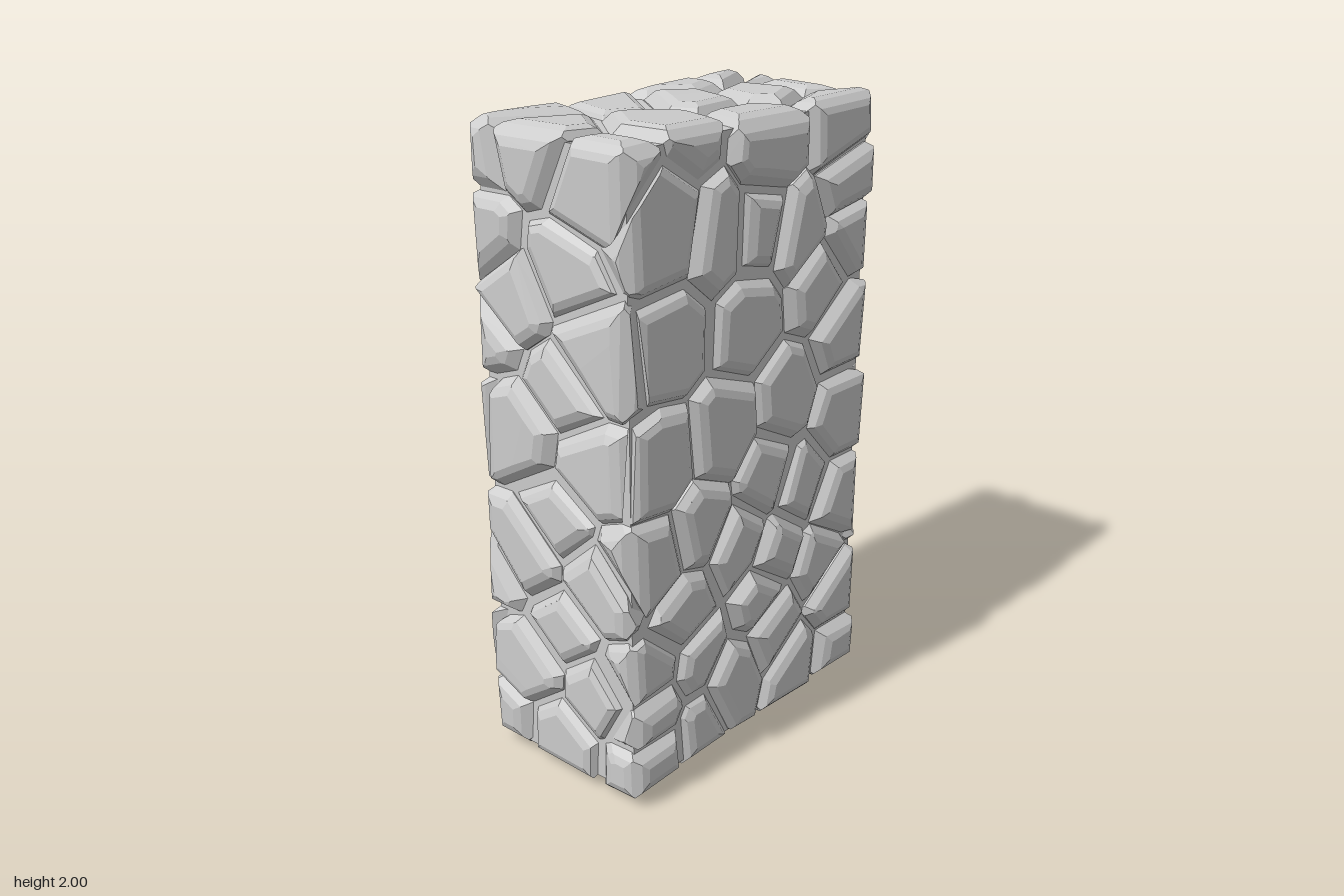
import * as THREE from 'three';

const HALF = [0.59, 1, 0.315]; // half width, height, depth of the block
const INSET = 0.08;            // depth of stone centres below the surface

// Stone centres on each side of the block
const FRONT = [ // x, y
  [-0.4, 1.72], [-0.17, 1.67], [0.06, 1.88], [0.4, 1.88], [-0.37, 1.42], [-0.04, 1.4],
  [0.01, 1.66], [0.2, 1.61], [0.31, 1.44], [0.46, 1.57], [0.44, 1.72], [0.45, 1.24],
  [-0.42, 1.04], [-0.16, 1.07], [0.17, 1.1], [0.45, 0.97], [-0.26, 0.82], [0.06, 0.87], [-0.45, 0.77],
  [0.25, 0.78], [0.45, 0.66], [-0.33, 0.55], [-0.07, 0.68], [0.12, 0.58], [-0.45, 0.41], [-0.26, 0.37],
  [-0.44, 0.26], [-0.44, 0.12], [-0.09, 0.23], [0.12, 0.33], [0.35, 0.48], [0.25, 0.13], [0.46, 0.31],
  [0.45, 0.1], [-0.26, 0.14], [0.05, 0.47]];
const BACK = [ // x, y
  [0.46, 1.88], [0.25, 1.9], [-0.38, 1.88], [0.44, 1.68], [0.15, 1.67], [-0.22, 1.63],
  [0.44, 1.4], [0.19, 1.34], [-0.18, 1.37], [-0.46, 1.63], [-0.45, 1.38], [0.45, 1.11], [0.25, 1.11],
  [0.03, 1.02], [-0.24, 1.13], [-0.45, 1.11], [0.44, 0.87], [0.22, 0.91], [0.42, 0.67], [0.07, 0.78],
  [-0.28, 0.83], [0.15, 0.48], [-0.16, 0.48], [-0.45, 0.62], [0.42, 0.39], [0.44, 0.17], [0.03, 0.17],
  [-0.24, 0.21], [-0.45, 0.14], [0.22, 0.22], [-0.42, 0.37]];
const PLUS_X = [ // z, y
  [0.14, 1.56], [-0.09, 1.52], [0.12, 1.8], [-0.1, 1.87], [-0.13, 1.73], [0.11, 1.34], [-0.15, 1.31],
  [0.13, 1.08], [-0.14, 1.09], [0.09, 0.89], [-0.15, 0.86], [0.14, 0.6], [-0.02, 0.45], [-0.04, 0.72],
  [-0.15, 0.62], [-0.15, 0.38], [0.1, 0.22], [-0.14, 0.13]];
const MINUS_X = [ // z, y
  [0.13, 1.84], [0.05, 1.6], [-0.14, 1.5], [0.14, 1.4], [0.02, 1.27], [-0.14, 1.1],
  [0.13, 1.05], [0, 0.85], [-0.14, 0.7], [0.14, 0.68], [0, 0.5], [-0.14, 0.34], [0.13, 0.32], [0, 0.13]];
const TOP = [ // x, z
  [-0.46, -0.04], [-0.27, 0.12], [-0.09, -0.15], [0.05, -0.04], [0.32, 0.04], [0.51, 0.03]];
const BOTTOM = [[-0.4, 0], [-0.12, 0.06], [0.1, -0.06], [0.36, 0.04], [-0.2, -0.12]]; // x, z

let state = 7;
const rnd = () => {
  state = (state * 16807) % 2147483647;
  return state / 2147483647;
};
const vec = (x, y, z) => new THREE.Vector3(x, y, z);

// Half-space n.p <= d
function plane(n, d) {
  const l = n.length();
  return { n: n.clone().divideScalar(l), d: d / l };
}

// Bevel between two half-spaces: weight sets its slope, cut its size
function bevel(f, b, weight, cut) {
  return plane(f.n.clone().multiplyScalar(weight).add(b.n), f.d * weight + b.d - cut);
}

// Solid enclosed by half-spaces: corners from plane triples, then one fan per plane
function solidFromPlanes(planes) {
  const corners = planes.map(() => []);
  const add = (list, p) => {
    if (!list.some(q => q.distanceToSquared(p) < 1e-8)) list.push(p);
  };
  const cross = vec(), p = vec(), t = vec();
  const count = planes.length;
  for (let i = 0; i < count; i++) for (let j = i + 1; j < count; j++) {
    const a = planes[i], b = planes[j];
    cross.crossVectors(a.n, b.n);
    if (cross.lengthSq() < 1e-6) continue;
    for (let k = j + 1; k < count; k++) {
      const c = planes[k];
      const det = cross.dot(c.n);
      if (Math.abs(det) < 1e-4) continue;
      p.copy(cross).multiplyScalar(c.d)
        .addScaledVector(t.crossVectors(b.n, c.n), a.d)
        .addScaledVector(t.crossVectors(c.n, a.n), b.d)
        .divideScalar(det);
      let inside = true;
      for (let m = 0; m < count && inside; m++) inside = planes[m].n.dot(p) <= planes[m].d + 1e-6;
      if (inside) for (const m of [i, j, k]) add(corners[m], p.clone());
    }
  }
  const pos = [];
  planes.forEach(({ n }, i) => {
    const list = corners[i];
    if (list.length < 3) return;
    const mid = list.reduce((s, q) => s.add(q), vec()).divideScalar(list.length);
    const u = list[0].clone().sub(mid).normalize();
    const v = n.clone().cross(u);
    const angle = q => Math.atan2(q.clone().sub(mid).dot(v), q.clone().sub(mid).dot(u));
    list.sort((q, r) => angle(q) - angle(r));
    for (let k = 1; k + 1 < list.length; k++) {
      for (const q of [list[0], list[k], list[k + 1]]) pos.push(q.x, q.y, q.z);
    }
  });
  const geo = new THREE.BufferGeometry();
  geo.setAttribute('position', new THREE.Float32BufferAttribute(pos, 3));
  geo.computeVertexNormals();
  return geo;
}

// One stone: its cell among the neighbours, cut by the block sides, with worn edges
function stoneGeometry(seed, seeds) {
  const sides = [], joints = [], limits = [];
  for (let axis = 0; axis < 3; axis++) for (const s of [-1, 1]) {
    const n = vec().setComponent(axis, s);
    const along = s * seed.getComponent(axis);
    limits.push(plane(n, Math.min(along + 0.28, HALF[axis])));
    if (HALF[axis] - along > 0.26) continue;
    const tilted = n.clone();
    for (const other of [1, 2]) tilted.setComponent((axis + other) % 3, (rnd() - 0.5) * 0.07);
    const foot = seed.clone().setComponent(axis, s * (HALF[axis] - rnd() * 0.016));
    sides.push(plane(tilted, tilted.dot(foot)));
  }
  const near = seeds.filter(o => o !== seed)
    .sort((a, b) => a.distanceToSquared(seed) - b.distanceToSquared(seed)).slice(0, 16);
  for (const o of near) {
    const n = o.clone().sub(seed).normalize();
    joints.push(plane(n, n.dot(o.clone().add(seed).multiplyScalar(0.5))));
  }
  const bevels = [];
  sides.forEach((f, i) => {
    for (const b of joints) {
      const dot = f.n.dot(b.n);
      if (dot < -0.5 || dot > 0.75) continue;
      const cut = 0.03 + rnd() * 0.02;
      bevels.push(bevel(f, b, 0.75 + rnd() * 0.3, cut));
      bevels.push(bevel(f, b, 1.9 + rnd() * 0.6, cut + 0.014));
    }
    for (const g of sides.slice(i + 1)) {
      const cut = 0.035 + rnd() * 0.025;
      bevels.push(bevel(f, g, 1, cut), bevel(f, g, 2.4, cut * 1.3), bevel(g, f, 2.4, cut * 1.3));
    }
  });
  return solidFromPlanes([...sides, ...joints, ...limits, ...bevels]);
}

export function createModel() {
  const group = new THREE.Group();
  group.name = 'stoneBlock';
  const material = new THREE.MeshStandardMaterial({ color: 0xcccccc, flatShading: true });
  const [hx, hy, hz] = HALF.map(h => h - INSET);
  const seeds = [
    ...FRONT.map(([x, y]) => vec(x, y - 1, hz)),
    ...BACK.map(([x, y]) => vec(x, y - 1, -hz)),
    ...PLUS_X.map(([z, y]) => vec(hx, y - 1, z)),
    ...MINUS_X.map(([z, y]) => vec(-hx, y - 1, z)),
    ...TOP.map(([x, z]) => vec(x, hy, z)),
    ...BOTTOM.map(([x, z]) => vec(x, -hy, z))];

  // Stones
  const stones = new THREE.Group();
  stones.name = 'stones';
  for (const seed of seeds) {
    const stone = new THREE.Mesh(stoneGeometry(seed, seeds), material);
    stone.name = 'stone';
    stones.add(stone);
  }
  stones.position.y = 1;
  group.add(stones);

  // Mortar core filling the joints
  const core = new THREE.Mesh(new THREE.BoxGeometry(...HALF.map(h => 2 * (h - 0.042))), material);
  core.name = 'mortarCore';
  core.position.y = 1;
  group.add(core);
  return group;
}
